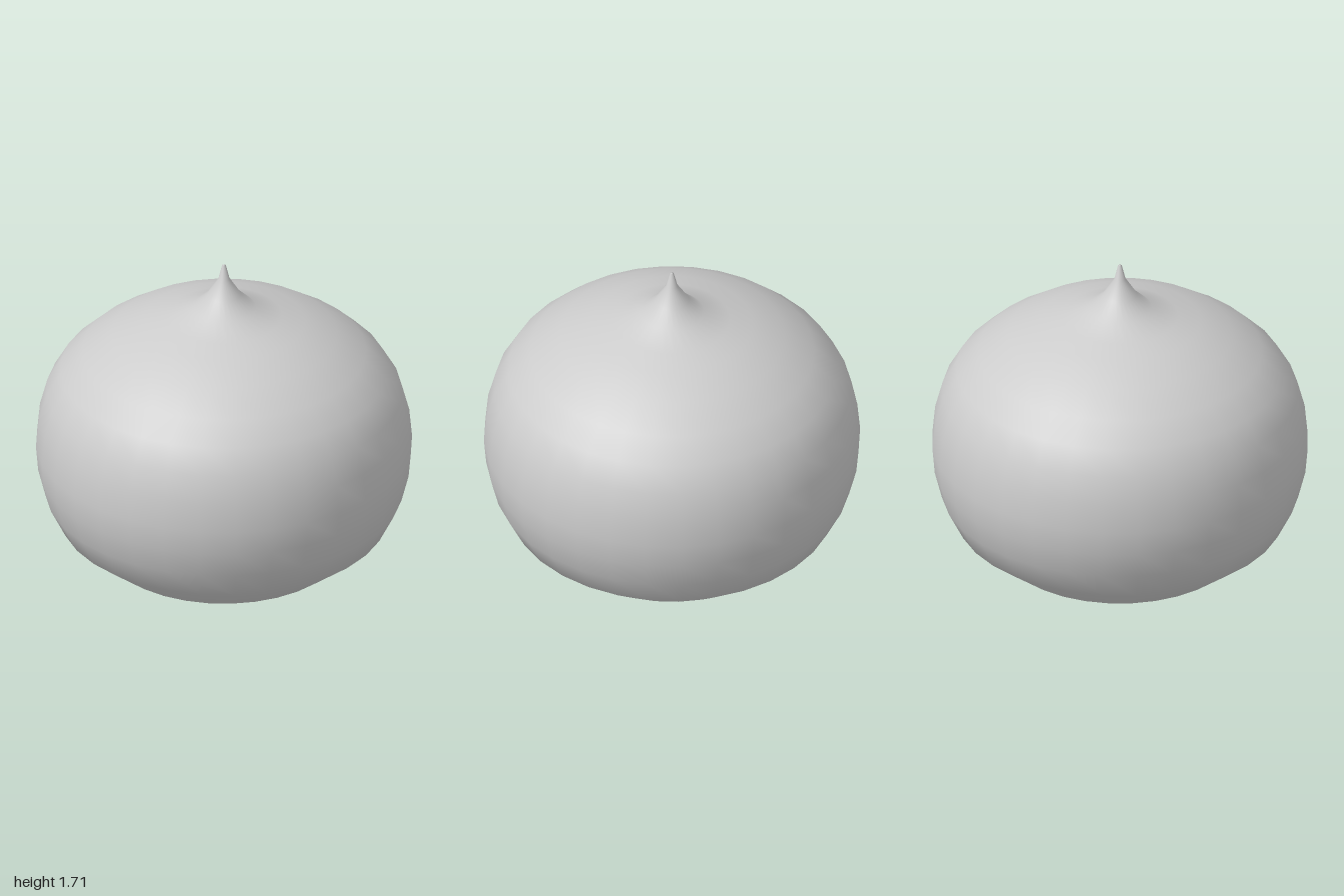
import * as THREE from 'three';

const SEGMENTS = 32;

// Radius and height pairs, from the base edge up to the pointed tip
const PROFILE = [
  [0.64, 0], [0.87, 0.18], [0.95, 0.34], [0.988, 0.49], [1, 0.63],
  [0.985, 0.79], [0.945, 0.94], [0.87, 1.07], [0.755, 1.18], [0.6, 1.285],
  [0.43, 1.36], [0.31, 1.395], [0.17, 1.45], [0.09, 1.525], [0.03, 1.62],
  [0.01, 1.7], [0, 1.705],
];

export function createModel() {
  const group = new THREE.Group();
  group.name = 'pointedDroplet';
  const material = new THREE.MeshStandardMaterial({ color: 0xcccccc });

  // Rounded body that draws up into a small peak
  const points = PROFILE.map(([r, y]) => new THREE.Vector2(r, y));
  const body = new THREE.Mesh(new THREE.LatheGeometry(points, SEGMENTS), material);
  body.name = 'body';
  group.add(body);

  // Flat underside, kept separate so its rim stays sharp
  const base = new THREE.Mesh(new THREE.CircleGeometry(PROFILE[0][0], SEGMENTS), material);
  base.name = 'base';
  base.rotation.x = Math.PI / 2;
  group.add(base);

  return group;
}
